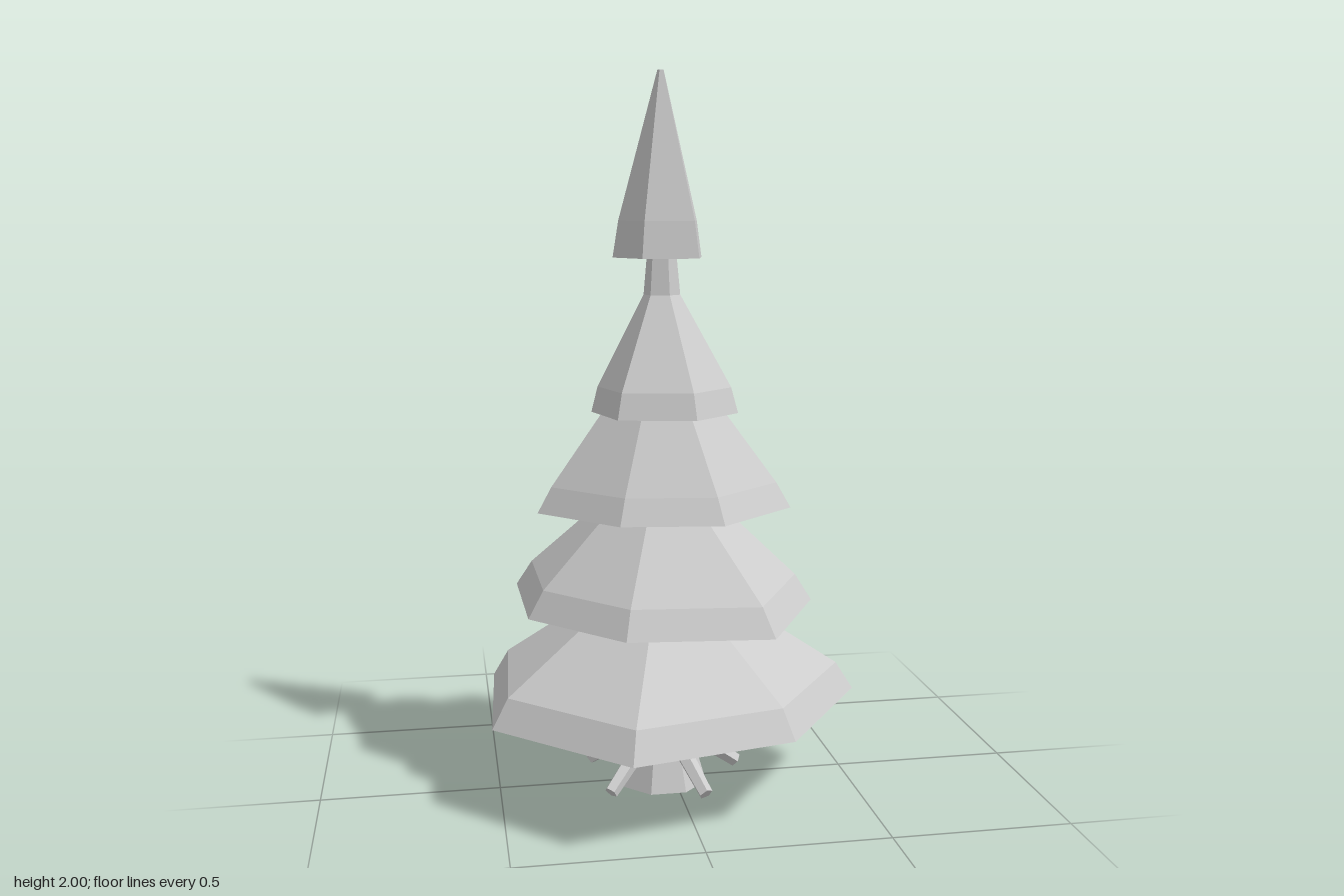
import * as THREE from 'three';

const paleGrey = new THREE.MeshStandardMaterial({ color: 0xcccccc, flatShading: true });
paleGrey.name = 'paleGrey';

const AXIS = [-0.033, 0.002];

// Faceted solid through stacked rings; each ring is { y, pts: [[x, z], ...] }
function loft(name, rings) {
  const pos = [];
  const tri = (...corners) => corners.forEach((c) => pos.push(...c));
  const at = (ring, i) => {
    const [x, z] = ring.pts[i % ring.pts.length];
    return [x, ring.y, z];
  };
  const n = rings[0].pts.length;
  const low = rings[0], high = rings[rings.length - 1];
  for (let i = 0; i < n; i++) {
    for (let k = 0; k < rings.length - 1; k++) {
      const a = at(rings[k], i), b = at(rings[k], i + 1);
      const d = at(rings[k + 1], i), c = at(rings[k + 1], i + 1);
      tri(b, a, d);
      tri(b, d, c);
    }
    tri([AXIS[0], low.y, AXIS[1]], at(low, i), at(low, i + 1));
    tri([AXIS[0], high.y, AXIS[1]], at(high, i + 1), at(high, i));
  }
  const geo = new THREE.BufferGeometry();
  geo.setAttribute('position', new THREE.Float32BufferAttribute(pos, 3));
  geo.computeVertexNormals();
  const mesh = new THREE.Mesh(geo, paleGrey);
  mesh.name = name;
  return mesh;
}

// Shrink an outline towards the trunk axis
const shrink = (pts, s) => pts.map(([x, z]) => [AXIS[0] + (x - AXIS[0]) * s, AXIS[1] + (z - AXIS[1]) * s]);

// Regular outline, running clockwise from above
function regular(n, r, turn = 0) {
  return Array.from({ length: n }, (_, i) => {
    const a = turn + (i / n) * Math.PI * 2;
    return [AXIS[0] + r * Math.cos(a), AXIS[1] + r * Math.sin(a)];
  });
}

// Bough tiers: irregular hem outline, then [height, scale] steps upward
const tiers = [
  {
    name: 'lowestBoughs',
    hem: [[-0.12, -0.525], [0.34, -0.405], [0.525, 0.04], [0.255, 0.42], [-0.19, 0.52], [-0.527, 0.2], [-0.5, -0.265]],
    steps: [[0.25, 1], [0.33, 0.91], [0.53, 0.37], [0.57, 0.26]],
  },
  {
    name: 'lowerBoughs',
    hem: [[-0.073, -0.473], [0.31, -0.315], [0.39, 0.062], [0.2, 0.415], [-0.186, 0.377], [-0.42, 0.124], [-0.428, -0.253]],
    steps: [[0.53, 1], [0.605, 0.89], [0.8, 0.41], [0.84, 0.31]],
  },
  {
    name: 'middleBoughs',
    hem: [[-0.017, -0.344], [0.234, -0.19], [0.315, 0.104], [0.087, 0.304], [-0.186, 0.27], [-0.386, 0.062], [-0.26, -0.19]],
    steps: [[0.81, 1], [0.88, 0.89], [1.08, 0.48], [1.12, 0.4]],
  },
  {
    name: 'upperBoughs',
    hem: [[0, -0.194], [0.163, -0.104], [0.163, 0.107], [0.025, 0.234], [-0.18, 0.19], [-0.23, 0.014], [-0.183, -0.169]],
    steps: [[1.08, 1], [1.15, 0.91], [1.4, 0.25], [1.51, 0.2]],
  },
  {
    name: 'treeTop',
    hem: [[-0.048, -0.118], [0.09, -0.05], [0.054, 0.107], [-0.1, 0.104], [-0.163, -0.028]],
    steps: [[1.5, 1], [1.6, 0.88], [2, 0.07]],
  },
];

// Slanted stub from the trunk down to the ground
function root(angle) {
  const dir = (r, y) => new THREE.Vector3(AXIS[0] + r * Math.cos(angle), y, AXIS[1] + r * Math.sin(angle));
  const inner = dir(0.045, 0.16), outer = dir(0.225, 0.028);
  const span = outer.clone().sub(inner);
  const mesh = new THREE.Mesh(new THREE.CylinderGeometry(0.02, 0.027, span.length(), 5), paleGrey);
  mesh.name = 'root';
  mesh.position.copy(inner).add(outer).multiplyScalar(0.5);
  mesh.quaternion.setFromUnitVectors(new THREE.Vector3(0, 1, 0), span.normalize());
  return mesh;
}

export function createModel() {
  const tree = new THREE.Group();
  tree.name = 'firTree';

  // Flared trunk
  const trunk = [[0, 0.131], [0.12, 0.095], [0.2, 0.084], [0.27, 0.084]];
  tree.add(loft('trunk', trunk.map(([y, r]) => ({ y, pts: regular(8, r, Math.PI / 8) }))));

  // Five roots around the trunk
  const roots = new THREE.Group();
  roots.name = 'roots';
  for (let i = 0; i < 5; i++) roots.add(root(-0.1 + (i / 5) * Math.PI * 2));
  tree.add(roots);

  for (const { name, hem, steps } of tiers) {
    tree.add(loft(name, steps.map(([y, s]) => ({ y, pts: shrink(hem, s) }))));
  }
  return tree;
}
